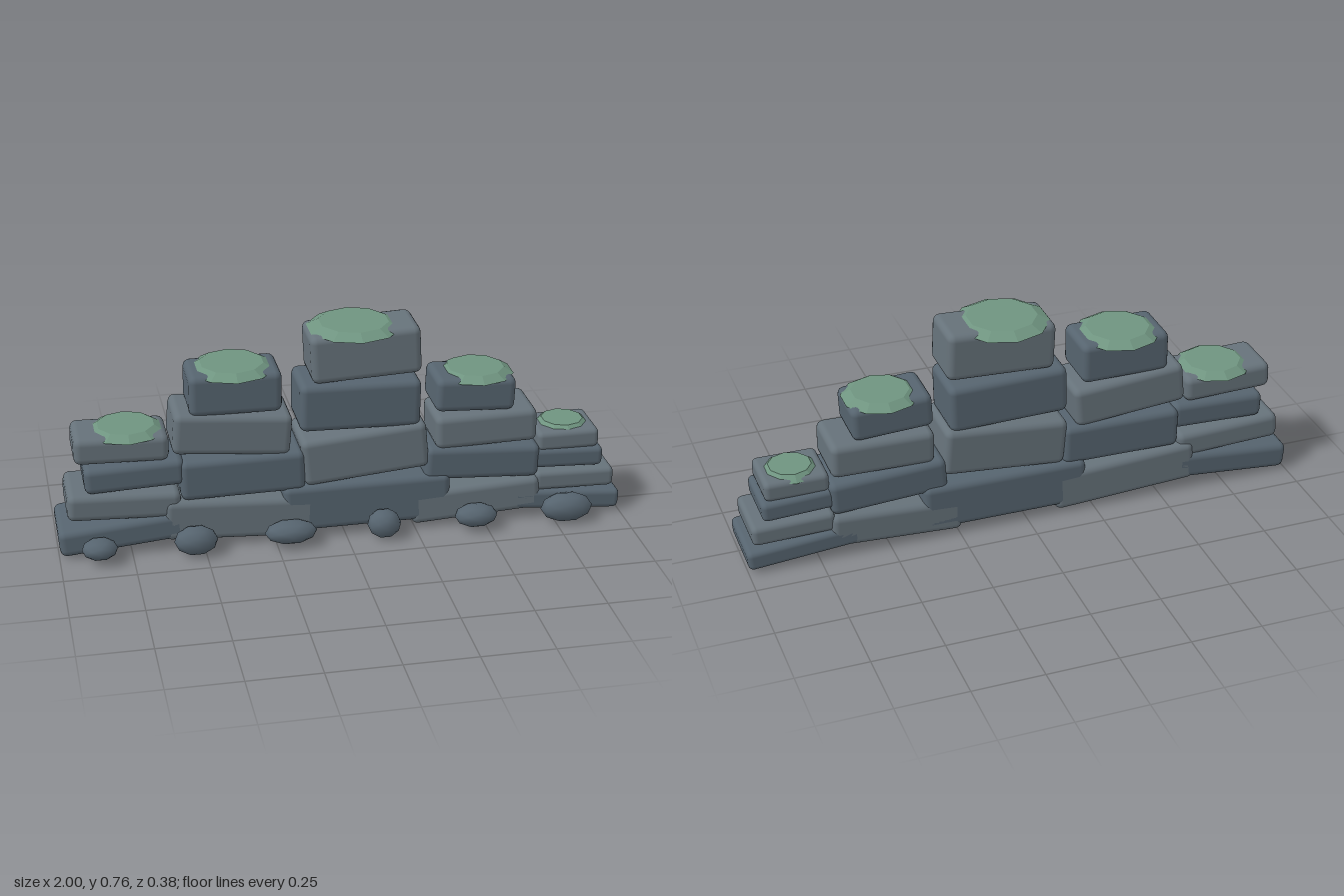
import * as THREE from 'three';
import { RoundedBoxGeometry } from 'three/addons/geometries/RoundedBoxGeometry.js';
import { mergeVertices } from 'three/addons/utils/BufferGeometryUtils.js';

const mat = (color) => new THREE.MeshStandardMaterial({ color });
const stones = [mat(0x56646f), mat(0x66727a)];
const mossMat = mat(0x6f9480);

// A stack of soft-edged slabs with a moss cap; slab = [x, y, width, tilt], bottom to top
function buildStack(name, thickness, tone, slabs, mossX, mossRadius) {
  const stack = new THREE.Group();
  stack.name = name;

  // Slabs get shallower towards the top and alternate between two stone tones
  slabs.forEach(([x, y, width, tilt], i) => {
    const radius = Math.min(0.025, thickness * 0.27);
    const slab = new THREE.Mesh(
      new RoundedBoxGeometry(width, thickness, 0.257 - 0.02 * i, 2, radius),
      stones[(tone + i) % 2]);
    slab.name = 'slab' + (i + 1);
    slab.position.set(x, y, -0.026 + 0.002 * i);
    slab.rotation.z = tilt;
    stack.add(slab);
  });

  // Thin bevelled moss disc overhanging the top slab
  const geometry = new THREE.CylinderGeometry(mossRadius * 0.74, mossRadius, 0.022, 10).toNonIndexed();
  geometry.computeVertexNormals();
  const cap = new THREE.Mesh(geometry, mossMat);
  cap.name = 'mossCap';
  cap.position.set(mossX, slabs[3][1] + thickness / 2, -0.025);
  stack.add(cap);
  return stack;
}

// Smooth low-poly boulder shape
function boulderGeometry() {
  const ball = new THREE.IcosahedronGeometry(1, 1);
  ball.deleteAttribute('uv');
  ball.deleteAttribute('normal');
  const geometry = mergeVertices(ball);
  geometry.computeVertexNormals();
  return geometry;
}

export function createModel() {
  const model = new THREE.Group();
  model.name = 'rockWall';

  model.add(
    buildStack('farRightStack', 0.096, 0, [
      [-0.78, 0.077, 0.44, 0.09], [-0.77, 0.18, 0.39, -0.04],
      [-0.73, 0.285, 0.345, 0.035], [-0.77, 0.386, 0.325, -0.025],
    ], -0.745, 0.135),
    buildStack('rightStack', 0.148, 1, [
      [-0.37, 0.1, 0.53, -0.055], [-0.357, 0.258, 0.435, 0.012],
      [-0.39, 0.412, 0.41, -0.085], [-0.375, 0.559, 0.32, -0.006],
    ], -0.375, 0.15),
    buildStack('middleStack', 0.172, 0, [
      [0.078, 0.118, 0.595, 0.004], [0.073, 0.302, 0.445, 0.09],
      [0.057, 0.482, 0.425, -0.02], [0.078, 0.665, 0.385, 0.045],
    ], 0.05, 0.165),
    buildStack('leftStack', 0.123, 1, [
      [0.47, 0.09, 0.47, 0.055], [0.493, 0.232, 0.415, -0.055],
      [0.507, 0.356, 0.365, 0.02], [0.467, 0.486, 0.285, -0.045],
    ], 0.485, 0.135),
    buildStack('farLeftStack', 0.072, 0, [
      [0.8, 0.064, 0.4, -0.08], [0.832, 0.138, 0.29, -0.02],
      [0.803, 0.22, 0.265, -0.04], [0.808, 0.285, 0.225, 0.005],
    ], 0.81, 0.1));

  // Evenly spaced boulders along the front foot, given as [width radius, height radius]
  const shape = boulderGeometry();
  const sizes = [[0.062, 0.037], [0.076, 0.052], [0.092, 0.041], [0.06, 0.052], [0.077, 0.041], [0.095, 0.053]];
  sizes.forEach(([rx, ry], i) => {
    const boulder = new THREE.Mesh(shape, stones[0]);
    boulder.name = 'boulder' + (i + 1);
    boulder.scale.set(rx, ry, 0.053);
    boulder.position.set(-0.865 + 0.331 * i, 0.057, 0.14);
    model.add(boulder);
  });

  return model;
}
